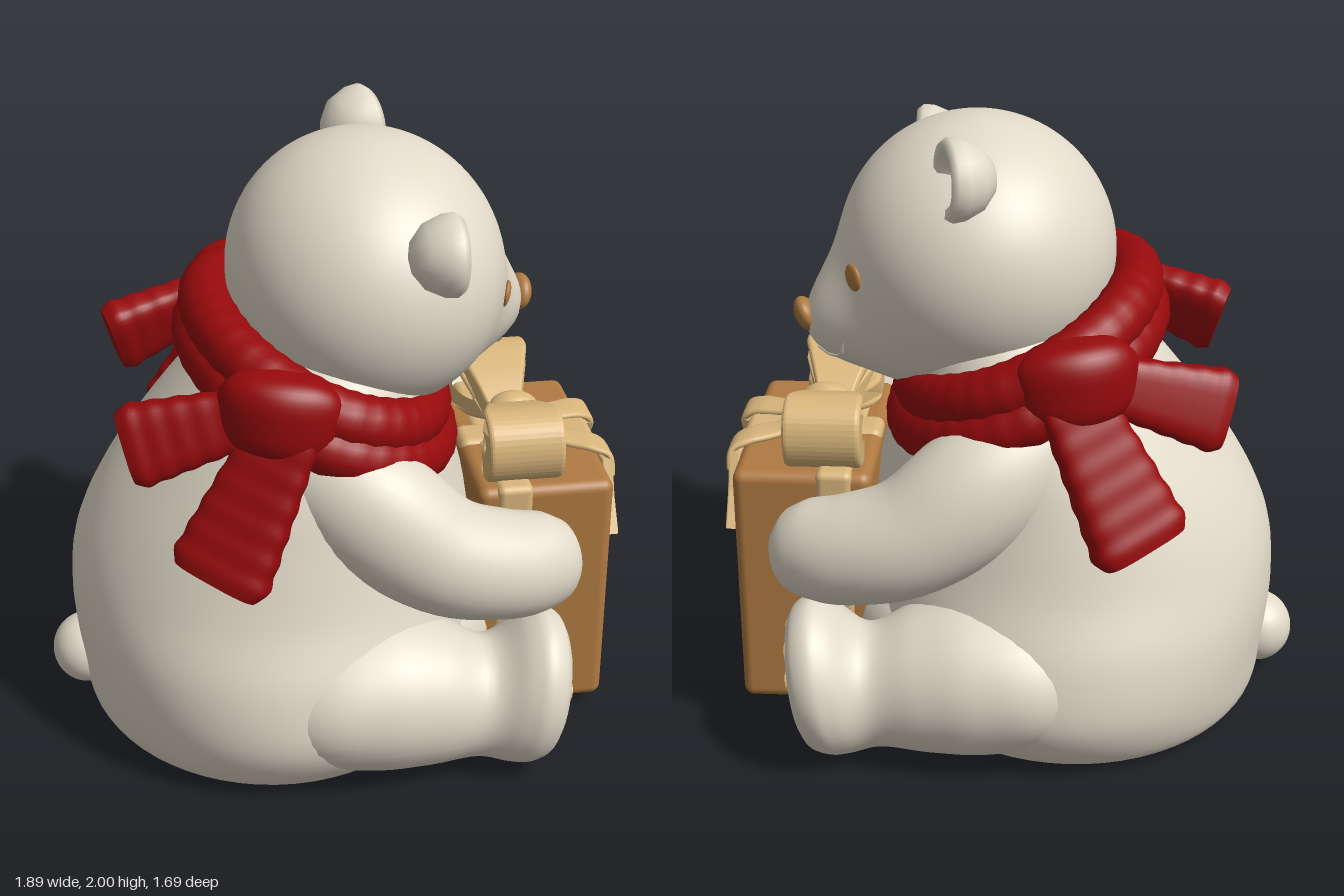
import * as THREE from 'three';
import { mergeVertices } from 'three/addons/utils/BufferGeometryUtils.js';
import { RoundedBoxGeometry } from 'three/addons/geometries/RoundedBoxGeometry.js';

const V = (x, y, z) => new THREE.Vector3(x, y, z);
const mat = (name, color) => Object.assign(new THREE.MeshStandardMaterial({ color }), { name });

// Smooth solid through rows of [x, y, z, radiusU, radiusV]; U follows ref, rings face the path or a fixed axis
function loft(rows, { axis = null, ref = V(0, 1, 0), steps = 36, n = 40, power = 1, closed = false } = {}) {
  const path = new THREE.CatmullRomCurve3(rows.map(r => V(r[0], r[1], r[2])), closed, 'catmullrom');
  const size = new THREE.CatmullRomCurve3(rows.map(r => V(r[3], r[4], 0)), closed, 'catmullrom');
  const pos = [], idx = [];
  const bend = c => Math.sign(c) * Math.abs(c) ** power;
  const ring = t => {
    const c = path.getPoint(t), r = size.getPoint(t);
    const T = (axis ? axis.clone() : path.getTangent(t)).normalize();
    const u = ref.clone().addScaledVector(T, -ref.dot(T)).normalize();
    const w = T.clone().cross(u);
    for (let j = 0; j < n; j++) {
      const a = j / n * Math.PI * 2;
      pos.push(...c.clone().addScaledVector(u, r.x * bend(Math.cos(a))).addScaledVector(w, r.y * bend(Math.sin(a))).toArray());
    }
    return c;
  };
  for (let i = 0; i <= steps; i++) ring(i / steps);
  for (let i = 0; i < steps; i++) for (let j = 0; j < n; j++) {
    const i2 = closed ? (i + 1) % steps : i + 1;
    const a = i * n + j, b = i * n + (j + 1) % n, c = i2 * n + j, d = i2 * n + (j + 1) % n;
    idx.push(a, b, c, b, d, c);
  }
  if (!closed) for (const end of [0, 1]) {
    const s = pos.length / 3;
    pos.push(...ring(end).toArray());
    for (let j = 0; j < n; j++) {
      const a = s + j, b = s + (j + 1) % n;
      idx.push(s + n, end ? a : b, end ? b : a);
    }
  }
  const g = new THREE.BufferGeometry();
  g.setAttribute('position', new THREE.Float32BufferAttribute(pos, 3));
  g.setIndex(idx);
  g.computeVertexNormals();
  return g;
}

// Head surface: an egg with soft muzzle and chin bulges
const bulges = [[V(0.5, -0.22, 0), 0.14, 0.23], [V(0.32, -0.4, 0), 0.06, 0.36]];
function headPoint(dir) {
  const d = dir.clone().normalize();
  let r = 1 / Math.hypot(d.x / 0.445, d.y / 0.44, d.z / 0.485);
  for (const [c, height, spread] of bulges) r += height * Math.exp(-((d.angleTo(c) / spread) ** 2) / 2);
  return d.multiplyScalar(r);
}

export function createModel() {
  const fur = mat('cream fur', 0xe2dac9), red = mat('red knit', 0x970a0c), brown = mat('brown', 0xb07a42);
  const tan = mat('tan ribbon', 0xdab67c), pad = mat('paw pad', 0xdab678), earTan = mat('inner ear', 0xba9760);
  const model = new THREE.Group();
  model.name = 'bearWithGift';
  const add = (parent, name, geo, m, x = 0, y = 0, z = 0) => {
    const mesh = new THREE.Mesh(geo, m);
    mesh.name = name;
    mesh.position.set(x, y, z);
    parent.add(mesh);
    return mesh;
  };
  const ball = (sx, sy, sz) => new THREE.SphereGeometry(1, 40, 28).scale(sx, sy, sz);

  // Body, lap and tail
  add(model, 'body', loft([
    [-0.225, 0, 0, 0.52, 0.6], [-0.205, 0.04, 0, 0.62, 0.71], [-0.175, 0.2, 0, 0.675, 0.8], [-0.185, 0.4, 0, 0.685, 0.78],
    [-0.175, 0.6, 0, 0.675, 0.7], [-0.155, 0.8, 0, 0.605, 0.645], [-0.11, 1, 0, 0.51, 0.59], [-0.05, 1.2, 0, 0.41, 0.5],
    [0, 1.35, 0, 0.33, 0.4], [0, 1.45, 0, 0.2, 0.25]], { axis: V(0, 1, 0), ref: V(1, 0, 0), steps: 50, n: 64 }), fur);
  add(model, 'lap', ball(0.36, 0.31, 0.5), fur, 0.25, 0.33, 0);
  add(model, 'tail', ball(0.115, 0.12, 0.12), fur, -0.835, 0.16, 0);

  // Arms, legs and paw pads
  for (const s of [1, -1]) {
    const side = s > 0 ? 'left' : 'right';
    add(model, side + 'Arm', loft([
      [-0.18, 1.08, 0.34 * s, 0.16, 0.16], [0.05, 0.93, 0.49 * s, 0.22, 0.195], [0.28, 0.77, 0.55 * s, 0.195, 0.185],
      [0.48, 0.7, 0.53 * s, 0.18, 0.175], [0.62, 0.675, 0.49 * s, 0.165, 0.15], [0.7, 0.67, 0.46 * s, 0.125, 0.11],
      [0.74, 0.67, 0.445 * s, 0.06, 0.05], [0.75, 0.67, 0.44 * s, 0.01, 0.01]], { steps: 48 }), fur);
    add(model, side + 'Leg', loft([
      [-0.5, 0.3, 0.22 * s, 0.22, 0.33], [-0.18, 0.3, 0.4 * s, 0.275, 0.4], [0.06, 0.29, 0.51 * s, 0.285, 0.33],
      [0.25, 0.265, 0.56 * s, 0.25, 0.255], [0.41, 0.24, 0.585 * s, 0.205, 0.195], [0.52, 0.275, 0.605 * s, 0.255, 0.22],
      [0.58, 0.285, 0.61 * s, 0.268, 0.233], [0.635, 0.28, 0.61 * s, 0.245, 0.215], [0.66, 0.28, 0.61 * s, 0.205, 0.18]],
    { axis: V(1, -0.14, 0), steps: 48 }), fur);
    const sole = new THREE.Group();
    sole.name = side + 'Sole';
    sole.position.set(0.662, 0.28, 0.61 * s);
    sole.rotation.z = -0.139;
    model.add(sole);
    for (const [y, z, r] of [[0.225, 0.575, 0.115], [0.335, 0.74, 0.034], [0.4, 0.68, 0.038], [0.43, 0.6, 0.041], [0.42, 0.51, 0.038]])
      add(sole, 'pad', new THREE.CylinderGeometry(r, r, 0.009, 28).rotateZ(-Math.PI / 2), pad, 0.001, y - 0.28, (z - 0.61) * s);
  }

  // Head, turned and tilted
  const head = new THREE.Group();
  head.name = 'head';
  head.position.set(0.12, 1.53, 0);
  head.rotation.set(0.17, 0.19, 0, 'YXZ');
  model.add(head);
  let skull = new THREE.SphereGeometry(1, 80, 56);
  skull.deleteAttribute('uv');
  skull.deleteAttribute('normal');
  skull = mergeVertices(skull);
  const p = skull.attributes.position;
  for (let i = 0; i < p.count; i++) p.setXYZ(i, ...headPoint(V().fromBufferAttribute(p, i)).toArray());
  skull.computeVertexNormals();
  add(head, 'skull', skull, fur);
  const face = (name, dir, geo) => {
    const m = add(head, name, geo, brown);
    m.position.copy(headPoint(dir));
    m.quaternion.setFromUnitVectors(V(0, 0, 1), dir.clone().normalize());
  };
  face('nose', V(0.55, -0.19, 0), ball(0.066, 0.058, 0.035));
  const lathe = pts => new THREE.LatheGeometry(pts.map(q => new THREE.Vector2(...q)), 36).rotateZ(-Math.PI / 2);
  for (const s of [1, -1]) {
    face('eye', V(0.42, -0.045, 0.205 * s), ball(0.042, 0.044, 0.014));
    const lip = [[-0.29, 0], [-0.33, 0.04], [-0.34, 0.1], [-0.29, 0.15]].map(([y, z]) => headPoint(V(0.5, y, z * s)));
    add(head, 'mouth', new THREE.TubeGeometry(new THREE.CatmullRomCurve3(lip), 16, 0.006, 8), fur);
    const ear = new THREE.Group();
    ear.name = 'ear';
    ear.position.set(0.08, 0.28, 0.4 * s);
    ear.rotation.y = -0.15 * s;
    head.add(ear);
    add(ear, 'earCup', lathe([[0.001, -0.1], [0.05, -0.09], [0.1, -0.05], [0.127, 0.01], [0.13, 0.045], [0.115, 0.066], [0.088, 0.06], [0.058, 0.025]]), fur);
    add(ear, 'innerEar', lathe([[0.058, 0.025], [0.035, 0.008], [0.001, 0.002]]), earTan);
  }

  // Scarf: knitted rolls sloping down to the front, with an inner roll against the neck
  for (const [off, grow] of [[0.055, -0.015], [-0.055, 0.008], [0.01, -0.07]]) {
    const rows = [];
    for (let i = 0; i < 72; i++) {
      const a = i / 72 * Math.PI * 2, x = (0.365 + grow) * Math.cos(a), k = 1 + 0.04 * (i % 2);
      rows.push([x - 0.04, 1.205 - 0.47 * x + off, (0.515 + grow) * Math.sin(a), 0.088 * k, 0.088 * k]);
    }
    add(model, 'scarfRoll', loft(rows, { closed: true, steps: 144, n: 20 }), red);
  }
  // Scarf knots and hanging ends, one pair on each side
  for (const s of [1, -1]) {
    add(model, 'scarfKnot', loft([
      [-0.06, 1.25, 0.51 * s, 0.07, 0.05], [-0.11, 1.265, 0.52 * s, 0.125, 0.09], [-0.22, 1.28, 0.505 * s, 0.14, 0.11],
      [-0.32, 1.29, 0.45 * s, 0.125, 0.1], [-0.38, 1.29, 0.41 * s, 0.07, 0.05]], { power: 0.7 }), red);
    const scarfEnd = (from, to, w0, w1, ref) => {
      const rows = [];
      for (let i = 0; i <= 12; i++) {
        const t = i / 12, c = from.clone().lerp(to, t), k = (1 + 0.04 * (i % 2)) * (i === 12 ? 0.88 : 1);
        rows.push([c.x, c.y, c.z, (w0 + (w1 - w0) * t) * k, (0.045 + 0.025 * t) * k]);
      }
      add(model, 'scarfEnd', loft(rows, { ref, power: 0.6, steps: 36, n: 32 }), red);
    };
    scarfEnd(V(-0.25, 1.28, 0.47 * s), V(-0.68, 1.14, 0.385 * s), 0.08, 0.135, V(0, 1, -0.3 * s));
    scarfEnd(V(-0.2, 1.25, 0.53 * s), V(-0.435, 0.765, 0.6 * s), 0.11, 0.165, V(1, 0, 0.5 * s));
  }

  // Gift box with a front band and a shorter side band
  add(model, 'giftBox', new RoundedBoxGeometry(0.45, 0.84, 0.76, 4, 0.035), brown, 0.665, 0.46, 0);
  add(model, 'frontBand', new RoundedBoxGeometry(0.46, 0.865, 0.14, 3, 0.03), tan, 0.672, 0.46, 0);
  add(model, 'sideBand', new RoundedBoxGeometry(0.12, 0.8, 0.78, 3, 0.025), tan, 0.56, 0.49, 0);

  // Bow: knot, hollow loops and forked ends
  add(model, 'bowKnot', ball(0.09, 0.068, 0.065), tan, 0.63, 0.965, 0);
  const slab = (shape, depth, bevel) => new THREE.ExtrudeGeometry(shape, {
    depth, bevelEnabled: true, bevelSize: bevel, bevelThickness: bevel, bevelSegments: 3, curveSegments: 20 }).rotateY(Math.PI / 2);
  const outline = (pts, s) => pts.map(([z, y]) => new THREE.Vector2(-z * s, y));
  for (const s of [1, -1]) {
    const loop = new THREE.Shape(new THREE.SplineCurve(outline(
      [[0.02, 0.99], [0.12, 1.045], [0.25, 1.085], [0.33, 1.05], [0.35, 0.96], [0.3, 0.885], [0.16, 0.89], [0.02, 0.94]], s)).getPoints(40));
    loop.holes.push(new THREE.Path(new THREE.SplineCurve(outline(
      [[0.1, 0.97], [0.17, 1.0], [0.24, 1.025], [0.285, 1.005], [0.285, 0.965], [0.25, 0.945], [0.17, 0.945], [0.1, 0.96]], s)).getPoints(30)));
    const g = slab(loop, 0.2, 0.014).translate(-0.1, 0, 0);
    const q = g.attributes.position;
    for (let i = 0; i < q.count; i++) q.setX(i, q.getX(i) * Math.min(1.1, 0.5 + 2.6 * Math.abs(q.getZ(i))));
    g.computeVertexNormals();
    add(model, 'bowLoop', g, tan, 0.6, 0, 0);
    add(model, 'bowLoopInside', ball(0.03, 0.06, 0.12), tan, 0.6, 0.98, 0.2 * s);
    add(model, 'bowStrip', loft([
      [0.62, 0.95, 0.03 * s, 0.03, 0.015], [0.76, 0.905, 0.08 * s, 0.05, 0.015], [0.87, 0.89, 0.12 * s, 0.06, 0.015],
      [0.92, 0.86, 0.14 * s, 0.062, 0.015], [0.928, 0.79, 0.17 * s, 0.06, 0.012]], { ref: V(0, 0, 1), power: 0.7, n: 20 }), tan);
    add(model, 'bowEnd', slab(new THREE.Shape(outline(
      [[0.08, 0.85], [0.2, 0.86], [0.25, 0.75], [0.32, 0.655], [0.235, 0.68], [0.17, 0.59], [0.14, 0.7]], s)), 0.025, 0.006), tan, 0.897, 0, 0);
  }
  return model;
}
